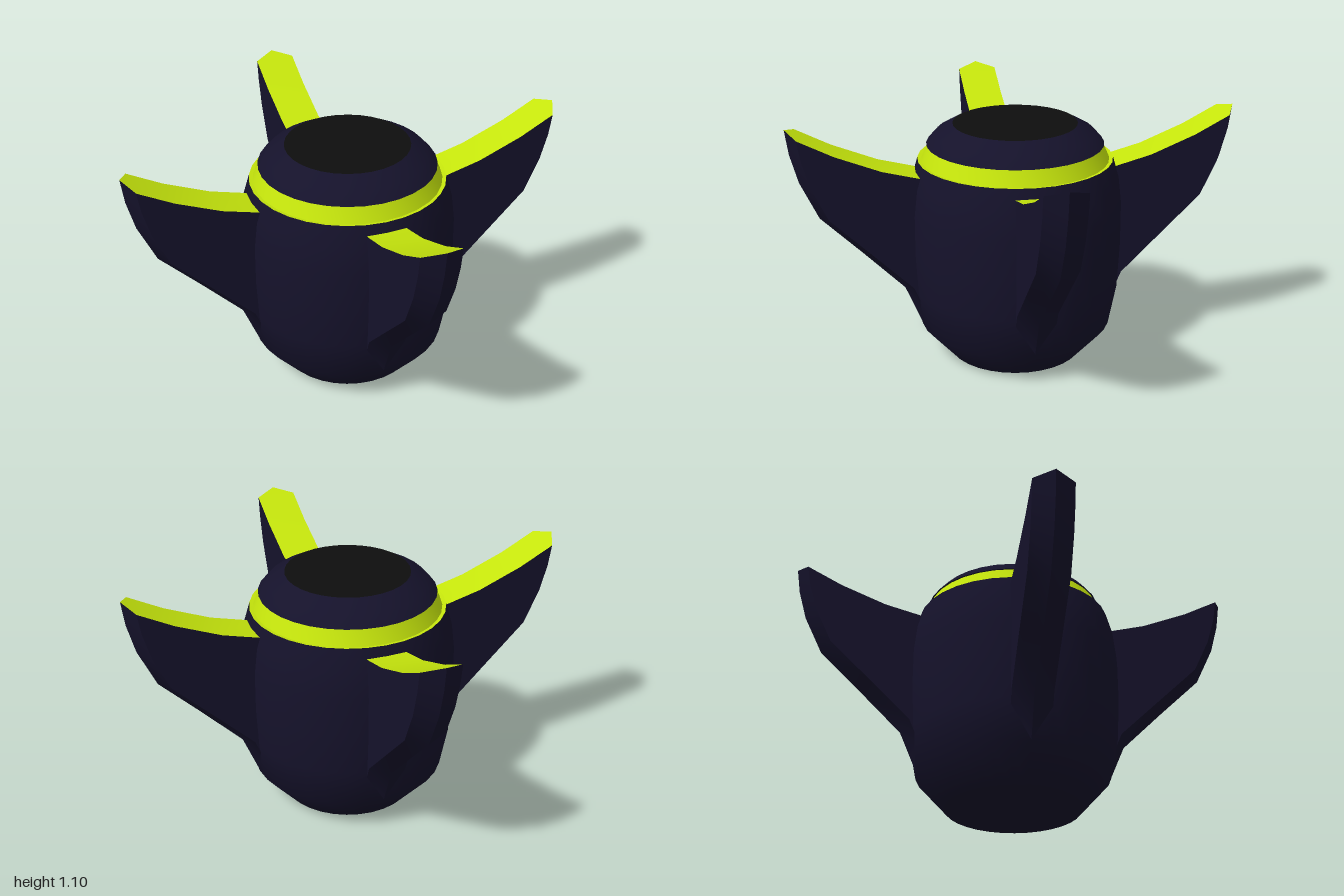
import * as THREE from 'three';
import { toCreasedNormals } from 'three/addons/utils/BufferGeometryUtils.js';

const paint = (color) => new THREE.MeshStandardMaterial({ color, side: THREE.DoubleSide });
const navy = paint(0x15122b), lime = paint(0xc6e60c), black = paint(0x0e0e0e);

const HALF = 0.09; // half the fin thickness
// Fin stations from tip to root: top edge, side edge, outer ridge (x, y each)
const STATIONS = [
  [[0.955, 1.075], [0.955, 1.075], [1.0, 1.1]],
  [[0.8, 0.995], [0.94, 0.98], [0.985, 0.99]],
  [[0.6, 0.915], [0.905, 0.86], [0.95, 0.86]],
  [[0.42, 0.868], [0.835, 0.71], [0.87, 0.69]],
  [[0.4, 0.7], [0.665, 0.545], [0.69, 0.515]],
  [[0.4, 0.4], [0.475, 0.36], [0.505, 0.33]],
  [[0.39, 0.18], [0.4, 0.18], [0.43, 0.15]],
];

function lathe(name, profile, material, crease) {
  const points = profile.map(([r, y]) => new THREE.Vector2(r, y));
  let geometry = new THREE.LatheGeometry(points, 32);
  if (crease) geometry = toCreasedNormals(geometry, crease);
  const mesh = new THREE.Mesh(geometry, material);
  mesh.name = name;
  return mesh;
}

function facesMesh(name, triangles, material) {
  let geometry = new THREE.BufferGeometry();
  geometry.setAttribute('position', new THREE.Float32BufferAttribute(triangles.flat(2), 3));
  geometry = toCreasedNormals(geometry, 0.4);
  const mesh = new THREE.Mesh(geometry, material);
  mesh.name = name;
  return mesh;
}

function createFin() {
  const rings = STATIONS.map(([t, s, r]) => [
    [...t, HALF], [...s, HALF], [...r, 0], [...s, -HALF], [...t, -HALF],
  ]);
  const shell = [];
  const top = [[rings[0][1], rings[0][2], rings[0][3]]];
  for (let i = 0; i < rings.length - 1; i++) {
    for (let j = 0; j < 5; j++) {
      const k = (j + 1) % 5;
      const a = rings[i][j], b = rings[i + 1][j], c = rings[i + 1][k], d = rings[i][k];
      const target = j === 4 && i < 3 ? top : shell;
      target.push([a, b, c]);
      // The tip section has coinciding top and side edges
      if (!(i === 0 && (j === 0 || j === 3))) target.push([a, c, d]);
      else if (j === 3) target[target.length - 1] = [a, b, c];
    }
  }
  const fin = new THREE.Group();
  fin.name = 'fin';
  fin.add(facesMesh('finShell', shell, navy), facesMesh('finTopStrip', top, lime));
  return fin;
}

export function createModel() {
  const model = new THREE.Group();
  model.name = 'finnedPod';

  // Rounded pot-like body with a closed bottom
  model.add(lathe('body', [
    [0, 0], [0.3, 0], [0.43, 0.145], [0.465, 0.33], [0.475, 0.52],
    [0.474, 0.7], [0.46, 0.82], [0.432, 0.918],
  ], navy));

  // Bright collar with a thin lip
  model.add(lathe('collar', [
    [0.432, 0.918], [0.415, 0.915], [0.385, 0.985], [0.37, 0.985],
  ], lime, 0.5));

  // Sloped cap and its dark top disc
  model.add(lathe('cap', [
    [0.37, 0.983], [0.392, 0.985], [0.35, 1.033], [0.275, 1.075],
  ], navy, 0.6));
  model.add(lathe('topDisc', [[0.275, 1.075], [0, 1.075]], black));

  // Four fins around the body
  for (let i = 0; i < 4; i++) {
    const fin = createFin();
    fin.rotation.y = (i * Math.PI) / 2;
    model.add(fin);
  }
  return model;
}
